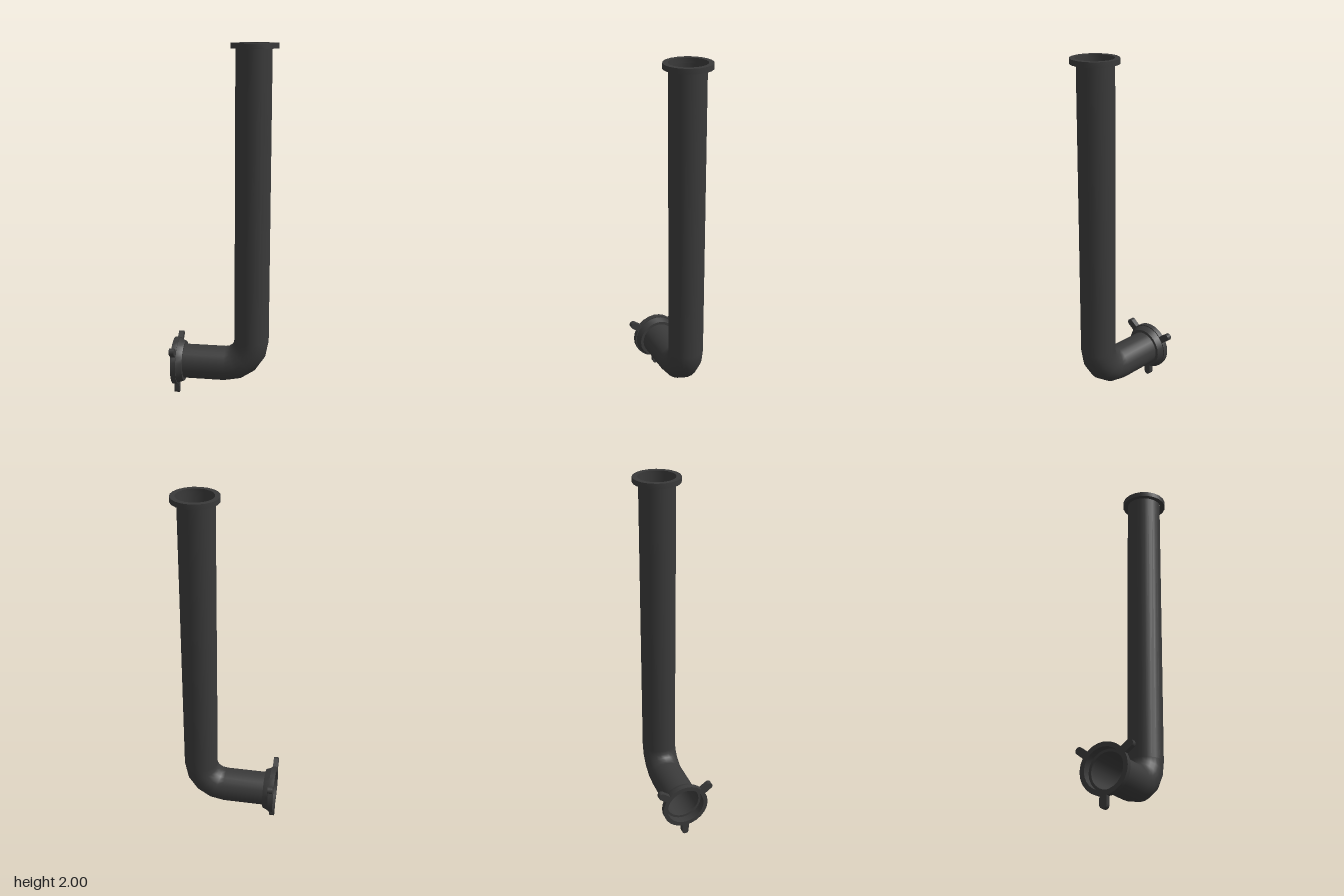
import * as THREE from 'three';
import { toCreasedNormals } from 'three/addons/utils/BufferGeometryUtils.js';

const PIPE_R = 0.098, PIPE_X = 0.157, AXIS_Y = 0.2, BEND_R = 0.15;
const BEND_X = PIPE_X - BEND_R, BEND_Y = AXIS_Y + BEND_R;

export function createModel() {
  const group = new THREE.Group();
  const material = new THREE.MeshStandardMaterial({ color: 0x3a3a3a });
  const thin = new THREE.MeshStandardMaterial({ color: 0x3a3a3a, side: THREE.DoubleSide });

  const add = (name, geometry, mat = material) => {
    const mesh = new THREE.Mesh(geometry, mat);
    mesh.name = name;
    group.add(mesh);
    return mesh;
  };
  const ring = (profile, sides) => toCreasedNormals(
    new THREE.LatheGeometry(profile.map(([r, y]) => new THREE.Vector2(r, y)), sides), 0.5);
  const openPipe = (length) => new THREE.CylinderGeometry(PIPE_R, PIPE_R, length, 24, 1, true);

  // Long upright pipe
  const topY = 1.985;
  add('uprightPipe', openPipe(topY - BEND_Y), thin).position.set(PIPE_X, (topY + BEND_Y) / 2, 0);

  // Quarter bend
  const elbow = add('elbow', new THREE.TorusGeometry(BEND_R, PIPE_R, 24, 4, Math.PI / 2), thin);
  elbow.rotation.z = -Math.PI / 2;
  elbow.position.set(BEND_X, BEND_Y, 0);

  // Short horizontal pipe
  const startX = -0.245;
  const outlet = add('outletPipe', openPipe(BEND_X - startX), thin);
  outlet.rotation.z = Math.PI / 2;
  outlet.position.set((BEND_X + startX) / 2, AXIS_Y, 0);

  // Flat ring around the upper mouth
  add('topFlange', ring(
    [[0.101, 0], [0.128, 0], [0.128, 0.028], [0.101, 0.028], [0.101, 0]], 20
  )).position.set(0.162, 1.972, 0);

  // Outlet coupling: tapered collar, rim and stepped bore
  const coupling = add('outletCoupling', ring([
    [0.096, 0], [0.115, 0], [0.129, 0.034], [0.135, 0.034], [0.135, 0.063],
    [0.11, 0.063], [0.11, 0.018], [0.096, 0.018], [0.096, 0],
  ], 24));
  coupling.rotation.z = Math.PI / 2;
  coupling.position.set(-0.228, AXIS_Y, 0);

  // Three round-ended locking lugs
  const lugShape = new THREE.Shape();
  lugShape.moveTo(0.118, -0.02);
  lugShape.lineTo(0.178, -0.02);
  lugShape.absarc(0.178, 0, 0.02, -Math.PI / 2, Math.PI / 2, false);
  lugShape.lineTo(0.118, 0.02);
  lugShape.closePath();
  const lugGeometry = new THREE.ExtrudeGeometry(lugShape, { depth: 0.029, bevelEnabled: false, curveSegments: 6 });
  lugGeometry.rotateY(Math.PI / 2);
  const rad = THREE.MathUtils.degToRad;
  [-90, 37, 143].forEach((angle) => {
    const lug = add('lockingLug', lugGeometry);
    // The shape's length lies along -z before turning about x
    lug.rotation.x = rad(angle);
    lug.position.set(-0.291, AXIS_Y, 0);
  });

  return group;
}
